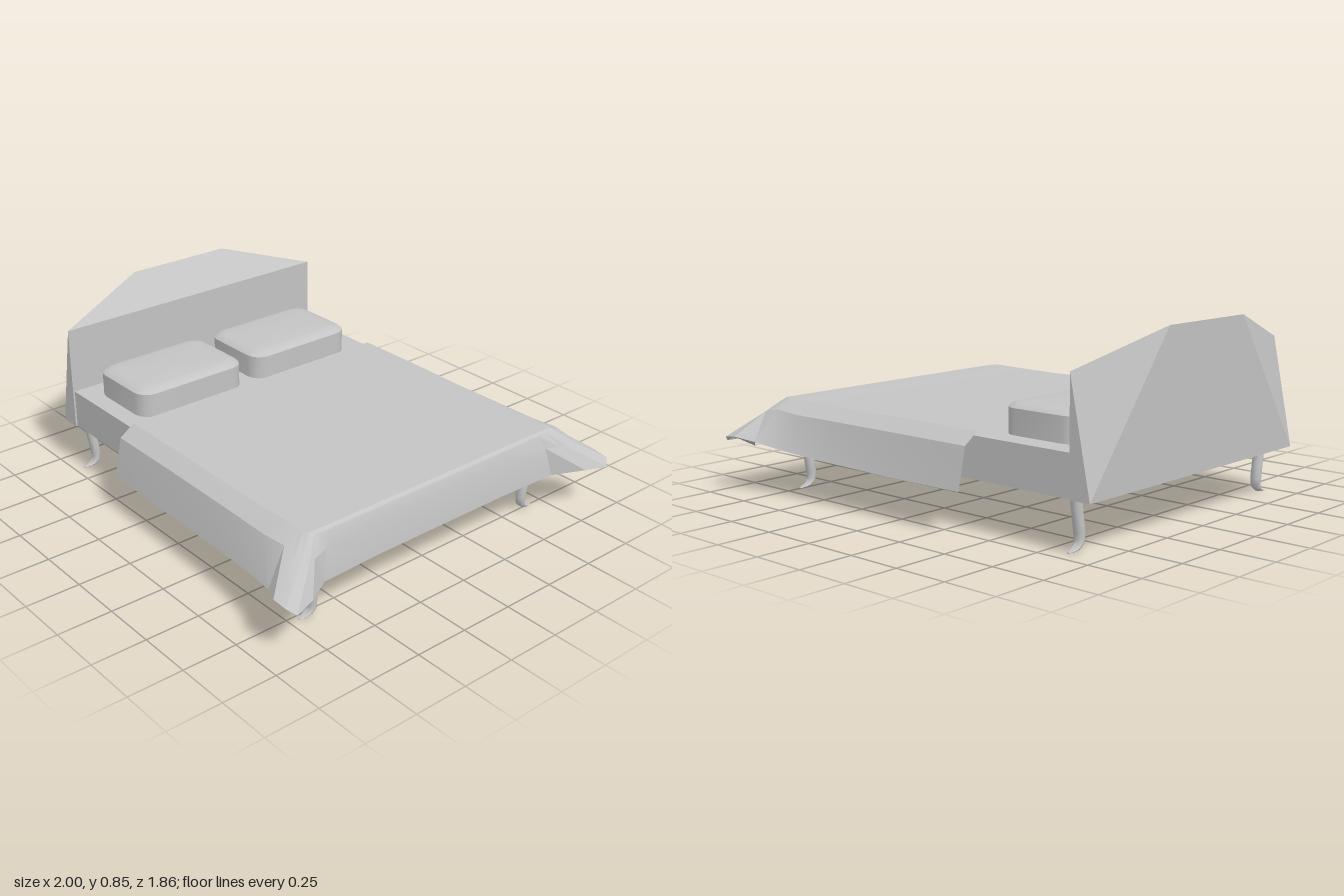
import * as THREE from 'three';
import { toCreasedNormals, mergeVertices } from 'three/addons/utils/BufferGeometryUtils.js';
import { ConvexGeometry } from 'three/addons/geometries/ConvexGeometry.js';

const V = (x, y, z) => new THREE.Vector3(x, y, z);

// Triangles from lists of points, with edges sharper than `crease` kept hard
function surface(tris, crease) {
  const geo = new THREE.BufferGeometry().setFromPoints(tris);
  return toCreasedNormals(mergeVertices(geo), crease);
}

// Skin closed rings (counter-clockwise seen from the end they advance to), capping both ends
function loft(rings, crease) {
  const tris = [], n = rings[0].length, last = rings.length - 1;
  const mid = r => r.reduce((s, p) => s.add(p), V(0, 0, 0)).divideScalar(n);
  const c0 = mid(rings[0]), c1 = mid(rings[last]);
  for (let j = 0; j < n; j++) {
    const k = (j + 1) % n;
    for (let i = 0; i < last; i++) {
      const a = rings[i][j], b = rings[i][k], c = rings[i + 1][k], d = rings[i + 1][j];
      tris.push(a, b, c, a, c, d);
    }
    tris.push(c0, rings[0][k], rings[0][j], c1, rings[last][j], rings[last][k]);
  }
  return surface(tris, crease);
}

// Rounded rectangle ring lying flat at height y
function roundedRing(w, d, r, y) {
  const ring = [];
  for (let q = 0; q < 4; q++) {
    const sx = q === 0 || q === 3 ? 1 : -1, sz = q < 2 ? -1 : 1;
    for (let i = 0; i <= 4; i++) {
      const a = (q + i / 4) * Math.PI / 2;
      ring.push(V(sx * (w / 2 - r) + r * Math.cos(a), y, sz * (d / 2 - r) - r * Math.sin(a)));
    }
  }
  return ring;
}

// Curved tapering leg whose toe points to +z
function legGeometry() {
  // height, z, half width, half depth, tilt of the section
  const steps = [
    [0.003, 0.055, 0.006, 0.002, 1.45], [0.008, 0.028, 0.016, 0.006, 1.25],
    [0.016, 0.006, 0.02, 0.011, 0.95], [0.035, -0.011, 0.023, 0.018, 0.5],
    [0.07, -0.011, 0.025, 0.023, 0.05], [0.12, -0.004, 0.025, 0.022, -0.15],
    [0.17, 0.004, 0.024, 0.024, -0.15], [0.23, 0.008, 0.024, 0.029, 0],
  ];
  const rings = steps.map(([y, z, w, d, t]) => Array.from({ length: 12 }, (_, i) => {
    const a = i / 12 * Math.PI * 2, s = -d * Math.sin(a);
    return V(w * Math.cos(a), Math.max(0, y + s * Math.sin(t)), z + s * Math.cos(t));
  }));
  return loft(rings, 0.9);
}

// Blanket columns from head to foot centre: top edge, shoulder, hem
const columns = [
  [[-0.39, 0.42, 0.70], [-0.39, 0.37, 0.77], [-0.39, 0.19, 0.808]],
  [[0, 0.42, 0.70], [0, 0.37, 0.77], [0, 0.19, 0.815]],
  [[0.4, 0.415, 0.70], [0.4, 0.37, 0.775], [0.4, 0.2, 0.828]],
  [[0.65, 0.418, 0.70], [0.65, 0.37, 0.78], [0.65, 0.215, 0.85]],
  [[0.76, 0.42, 0.70], [0.78, 0.38, 0.78], [0.81, 0.24, 0.885]],
  [[0.80, 0.42, 0.70], [0.85, 0.36, 0.79], [0.90, 0.26, 0.93]],
  [[0.82, 0.42, 0.69], [0.88, 0.35, 0.78], [0.97, 0.25, 0.925]],
  [[0.83, 0.415, 0.67], [0.89, 0.34, 0.745], [1.0, 0.225, 0.895]],
  [[0.835, 0.41, 0.65], [0.88, 0.34, 0.71], [0.965, 0.23, 0.79]],
  [[0.84, 0.41, 0.60], [0.86, 0.35, 0.63], [0.88, 0.215, 0.66]],
  [[0.84, 0.41, 0.35], [0.855, 0.37, 0.35], [0.87, 0.215, 0.35]],
  [[0.84, 0.41, 0], [0.855, 0.37, 0], [0.87, 0.215, 0]],
].map(col => col.map(p => V(...p)));

function blanketGeometry() {
  const tris = [];
  const flip = p => V(p.x, p.y, -p.z);
  const quad = (a, b, c, d) => tris.push(a, b, c, a, c, d);
  for (let i = 0; i < columns.length - 1; i++) {
    const p = columns[i], q = columns[i + 1];
    for (let k = 0; k < 2; k++) {
      quad(p[k], p[k + 1], q[k + 1], q[k]);
      quad(...[q[k], q[k + 1], p[k + 1], p[k]].map(flip));
    }
    // flat top strip between the mirrored edges
    quad(p[0], q[0], flip(q[0]), flip(p[0]));
  }
  // cloth tucked under each flared corner
  const tuck = V(0.88, 0.205, 0.83);
  const a = columns[4][2], b = columns[5][2], c = columns[8][2], d = columns[9][2];
  tris.push(tuck, b, a, tuck, d, c);
  tris.push(...[tuck, a, b, tuck, c, d].map(flip));
  return surface(tris, 0.35);
}

export function createModel() {
  const bed = new THREE.Group();
  bed.name = 'bed';
  const grey = new THREE.MeshStandardMaterial({ color: 0xc4c4c4 });
  grey.name = 'light grey';
  const cloth = new THREE.MeshStandardMaterial({ color: 0xc4c4c4, side: THREE.DoubleSide });
  cloth.name = 'light grey cloth';
  const add = (name, geo, x = 0, y = 0, z = 0, mat = grey) => {
    const mesh = new THREE.Mesh(geo, mat);
    mesh.name = name;
    mesh.position.set(x, y, z);
    bed.add(mesh);
    return mesh;
  };

  // Mattress block
  add('mattress', new THREE.BoxGeometry(1.76, 0.18, 1.41), -0.045, 0.31, 0.005);

  // Headboard leaning back to a shorter top edge
  const corners = [];
  for (const s of [-1, 1]) {
    corners.push(V(-0.875, 0.22, 0.714 * s), V(-0.875, 0.71, 0.714 * s),
      V(-0.975, 0.22, 0.714 * s), V(-1, 0.853, 0.26 * s));
  }
  add('headboard', new ConvexGeometry(corners), 0, 0, 0.005);

  // Pillows with rounded corners and a softly bevelled top
  const pillow = loft([
    roundedRing(0.39, 0.575, 0.075, 0), roundedRing(0.39, 0.575, 0.075, 0.11),
    roundedRing(0.37, 0.55, 0.07, 0.121), roundedRing(0.32, 0.5, 0.05, 0.129),
    roundedRing(0.27, 0.45, 0.03, 0.132),
  ], 0.6);
  add('rightPillow', pillow, -0.613, 0.4, -0.305);
  add('leftPillow', pillow, -0.613, 0.4, 0.337);

  // Draped blanket
  add('blanket', blanketGeometry(), 0, 0, 0, cloth);

  // Legs, toes turned outward
  const leg = legGeometry();
  add('headLegLeft', leg, -0.85, 0, 0.65);
  add('footLegLeft', leg, 0.775, 0, 0.65);
  add('headLegRight', leg, -0.85, 0, -0.628).rotation.y = Math.PI;
  add('footLegRight', leg, 0.75, 0, -0.628).rotation.y = Math.PI;

  return bed;
}
